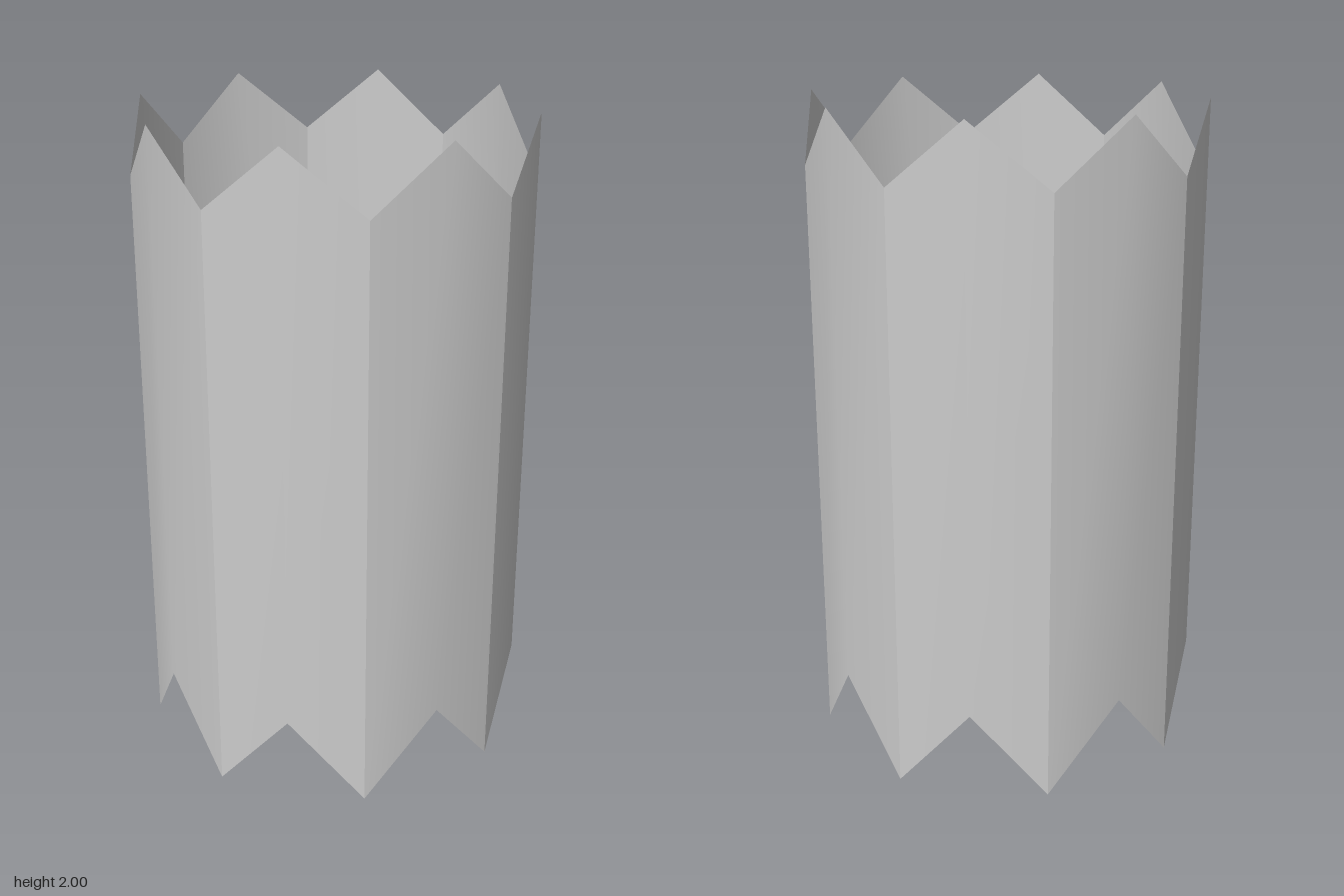
import * as THREE from 'three';

const RADIUS = 0.595;
const PANELS = 8;

// One bent panel: a pointed top, a notched bottom, smooth over its middle fold
function panelGeometry() {
  const half = Math.PI / PANELS;
  const columns = [
    { angle: -half, low: 0, high: 1.81 },
    { angle: 0, low: 0.267, high: 2 },
    { angle: half, low: 0, high: 1.81 },
  ];
  const positions = [];
  for (const { angle, low, high } of columns) {
    const x = RADIUS * Math.sin(angle);
    const z = RADIUS * Math.cos(angle);
    positions.push(x, low, z, x, high, z);
  }
  const indices = [];
  for (let i = 0; i < columns.length - 1; i++) {
    const a = i * 2;
    indices.push(a, a + 2, a + 3, a, a + 3, a + 1);
  }
  const geometry = new THREE.BufferGeometry();
  geometry.setAttribute('position', new THREE.Float32BufferAttribute(positions, 3));
  geometry.setIndex(indices);
  geometry.computeVertexNormals();
  return geometry;
}

export function createModel() {
  const model = new THREE.Group();
  model.name = 'zigzagTube';
  const material = new THREE.MeshStandardMaterial({ color: 0xcccccc, side: THREE.DoubleSide });
  const geometry = panelGeometry();

  // Ring of panels, creased where they meet
  for (let i = 0; i < PANELS; i++) {
    const panel = new THREE.Mesh(geometry, material);
    panel.name = `wallPanel${i + 1}`;
    panel.rotation.y = (i * 2 * Math.PI) / PANELS;
    model.add(panel);
  }
  return model;
}
